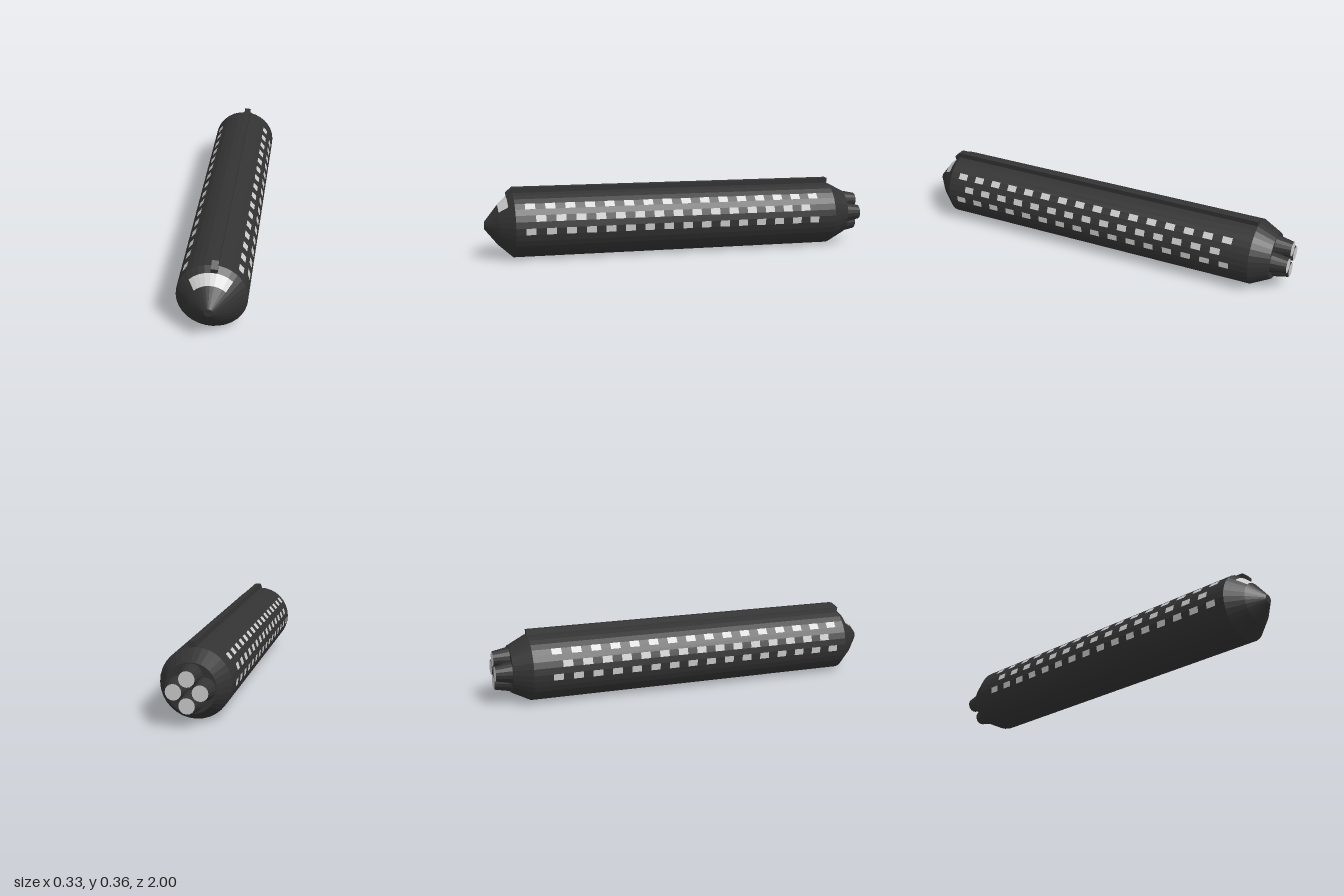
import * as THREE from 'three';

const R = 0.165;               // hull radius, also height of the axis
const SIDES = 32;
const STEP = (Math.PI * 2) / SIDES;

const dark = new THREE.MeshStandardMaterial({ color: 0x333333, flatShading: true });
const light = new THREE.MeshStandardMaterial({ color: 0xcccccc, flatShading: true });

function add(parent, name, geometry, material) {
  const mesh = new THREE.Mesh(geometry, material);
  mesh.name = name;
  parent.add(mesh);
  return mesh;
}

// Panels on the hull facets: each is { facet, front: [r, z], back: [r, z] },
// with facets counted from +x towards +y
function panelGeometry(panels) {
  const positions = [];
  for (const { facet, front, back } of panels) {
    const at = (i, [r, z]) => [r * Math.cos(i * STEP), r * Math.sin(i * STEP), z];
    const a = at(facet, front), b = at(facet, back);
    const c = at(facet + 1, back), d = at(facet + 1, front);
    positions.push(...a, ...b, ...c, ...a, ...c, ...d);
  }
  const geometry = new THREE.BufferGeometry();
  geometry.setAttribute('position', new THREE.Float32BufferAttribute(positions, 3));
  geometry.computeVertexNormals();
  return geometry;
}

export function createModel() {
  const model = new THREE.Group();
  model.name = 'ship';
  const ship = new THREE.Group();
  ship.name = 'shipBody';
  ship.position.y = R;
  model.add(ship);

  // Hull with tapered stern and stepped nose cone, [radius, z]
  const profile = [
    [0, -0.92], [0.117, -0.92], [R, -0.826], [R, 0.862],
    [0.14, 0.89], [0.1, 0.935], [0.02, 1], [0, 1],
  ].map(([r, z]) => new THREE.Vector2(r, z));
  add(ship, 'hull', new THREE.LatheGeometry(profile, SIDES).rotateX(Math.PI / 2), dark);

  // Cockpit window: eight facets over the top of the nose
  const lift = 0.0012;
  const cockpit = [];
  for (let facet = 4; facet < 12; facet++) {
    cockpit.push({ facet, front: [0.1 + lift, 0.935 + lift], back: [0.14 + lift, 0.89 + lift] });
  }
  add(ship, 'cockpitWindow', panelGeometry(cockpit), light);

  // Three staggered rows of side windows, mirrored left and right
  const size = 0.0498;
  const rows = [
    { name: 'upper', facet: 3, start: 0.813, count: 16 },
    { name: 'middle', facet: 1, start: 0.813 - size, count: 15 },
    { name: 'lower', facet: -1, start: 0.813, count: 16 },
  ];
  for (const { name, facet, start, count } of rows) {
    for (const side of ['Left', 'Right']) {
      const panels = [];
      for (let i = 0; i < count; i++) {
        const z = start - i * 2 * size;
        panels.push({
          facet: side === 'Left' ? facet : SIDES / 2 - 1 - facet,
          front: [R + lift, z],
          back: [R + lift, z - size],
        });
      }
      add(ship, name + 'Windows' + side, panelGeometry(panels), light);
    }
  }

  // Dorsal ridge raised from the single facet left of the top edge
  const width = 2 * R * Math.sin(STEP / 2);
  const outline = new THREE.Shape([
    [-0.826, 0.15], [0.89, 0.14], [0.895, 0.162], [0.862, 0.19], [-0.826, 0.19],
  ].map(([z, h]) => new THREE.Vector2(z, h)));
  const ridge = new THREE.ExtrudeGeometry(outline, { depth: width, bevelEnabled: false });
  ridge.translate(0, 0, -width / 2);
  const angle = 7.5 * STEP;
  const along = new THREE.Vector3(0, 0, 1);
  const out = new THREE.Vector3(Math.cos(angle), Math.sin(angle), 0);
  ridge.applyMatrix4(new THREE.Matrix4().makeBasis(along, out, along.clone().cross(out)));
  add(ship, 'dorsalRidge', ridge, dark);

  // Four engine nozzles in a cross, narrowing to pale exhaust discs
  for (let i = 0; i < 4; i++) {
    const engine = new THREE.Group();
    engine.name = 'engine' + (i + 1);
    const a = (i * Math.PI) / 2;
    engine.position.set(0.06 * Math.cos(a), 0.06 * Math.sin(a), -0.92);
    const cone = new THREE.CylinderGeometry(0.037, 0.053, 0.08, 16, 1, true);
    add(engine, 'nozzle', cone.rotateX(-Math.PI / 2).translate(0, 0, -0.04), dark);
    const disc = new THREE.CircleGeometry(0.037, 16);
    add(engine, 'exhaust', disc.rotateY(Math.PI).translate(0, 0, -0.08), light);
    ship.add(engine);
  }

  return model;
}
